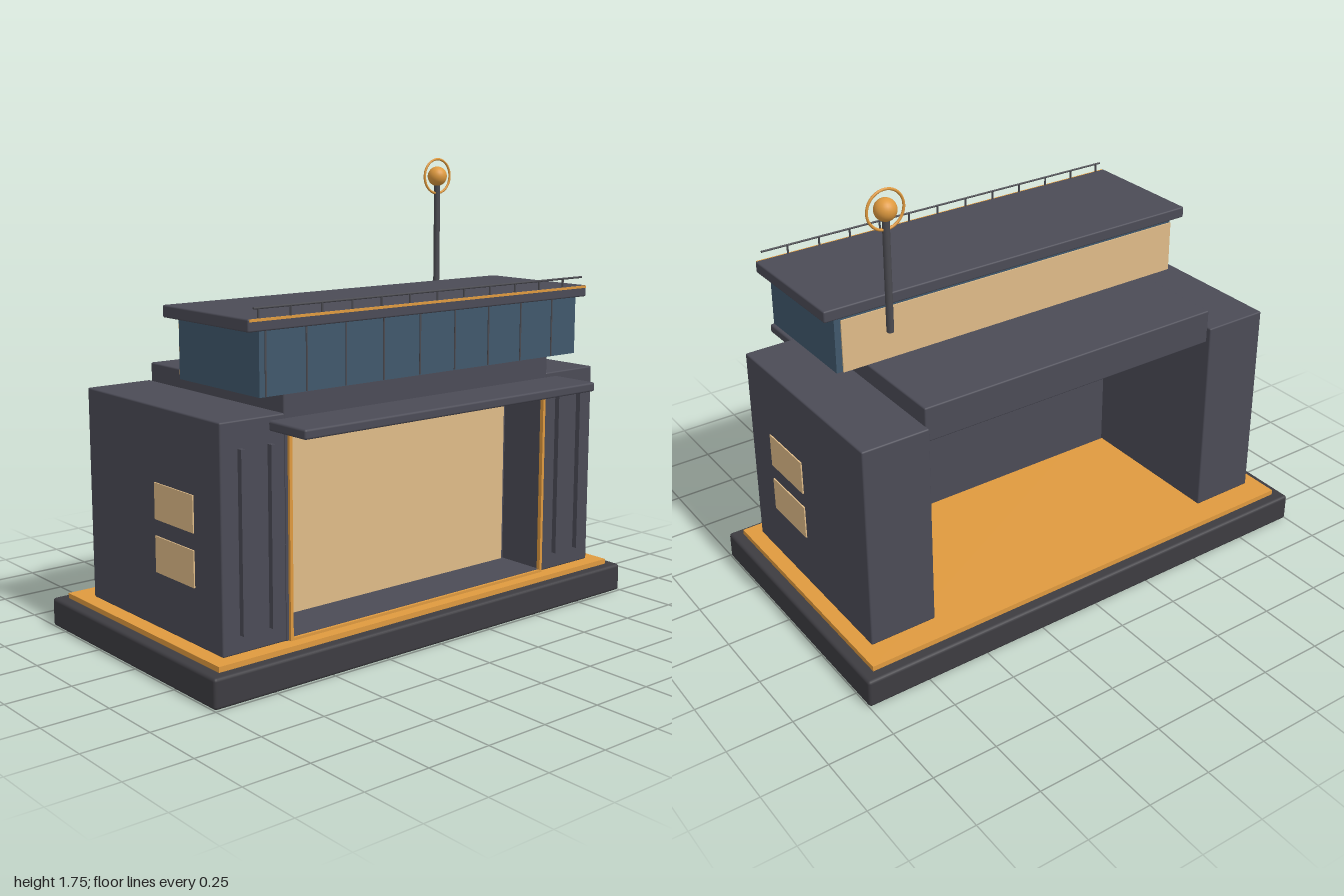
import * as THREE from 'three';
import { RoundedBoxGeometry } from 'three/addons/geometries/RoundedBoxGeometry.js';

const paint = (color) => new THREE.MeshStandardMaterial({ color });

export function createModel() {
  const model = new THREE.Group();
  const wall = paint(0x4b4b56), dark = paint(0x3d3c41), orange = paint(0xdf9a3f);
  const glow = paint(0xdfbb88), glass = paint(0x40586c), metal = paint(0x4a4a50);

  const add = (name, geometry, material, x, y, z) => {
    const mesh = new THREE.Mesh(geometry, material);
    mesh.name = name;
    mesh.position.set(x, y, z);
    model.add(mesh);
    return mesh;
  };
  // Box given by its limits; a radius softens the edges
  const box = (name, material, [x0, x1], [y0, y1], [z0, z1], radius = 0) => {
    const size = [x1 - x0, y1 - y0, z1 - z0];
    const geometry = radius
      ? new RoundedBoxGeometry(...size, 2, radius)
      : new THREE.BoxGeometry(...size);
    return add(name, geometry, material, (x0 + x1) / 2, (y0 + y1) / 2, (z0 + z1) / 2);
  };
  const mirror = (s, a, b) => (s > 0 ? [a, b] : [-b, -a]);

  // Plinth and coloured floor
  box('plinth', dark, [-1, 1], [0, 0.11], [-0.595, 0.495], 0.012);
  box('floor', orange, [-0.955, 0.955], [0.105, 0.13], [-0.55, 0.455]);

  // Side towers with lit windows and front fins
  for (const s of [1, -1]) {
    box('tower', wall, mirror(s, 0.635, 0.9), [0.13, 0.93], [-0.45, 0.4], 0.006);
    for (const y of [0.335, 0.527]) {
      box('sideWindow', glow, mirror(s, 0.895, 0.905), [y, y + 0.132], [0, 0.24]);
    }
    for (const x of [0.7, 0.822]) {
      box('frontFin', wall, mirror(s, x - 0.008, x + 0.008), [0.195, 0.835], [0.395, 0.421]);
    }
  }

  // Roof slab joining the towers, and the front canopy
  box('lowerRoof', wall, [-0.64, 0.64], [0.865, 1], [-0.43, 0.4], 0.006);
  box('canopy', wall, [-0.7, 0.7], [0.877, 0.912], [0.39, 0.595], 0.008);

  // Recessed display wall with its surround
  box('innerWall', wall, [-0.64, 0.64], [0.13, 0.87], [0.18, 0.2]);
  box('displayPanel', glow, [-0.595, 0.595], [0.147, 0.853], [0.2, 0.215]);
  box('surroundSill', wall, [-0.63, 0.63], [0.128, 0.142], [0.2, 0.4]);
  box('surroundHead', wall, [-0.63, 0.63], [0.853, 0.868], [0.2, 0.4]);
  for (const s of [1, -1]) {
    box('surroundJamb', wall, mirror(s, 0.617, 0.636), [0.13, 0.868], [0.2, 0.4]);
    box('sideTrim', orange, mirror(s, 0.613, 0.625), [0.13, 0.862], [0.395, 0.411]);
  }
  box('sillTrim', orange, [-0.625, 0.625], [0.128, 0.14], [0.395, 0.411]);
  box('headTrim', orange, [-0.625, 0.625], [0.851, 0.862], [0.395, 0.411]);

  // Glazed upper storey with mullions and a lit rear panel
  box('upperGlazing', glass, [-0.76, 0.76], [1, 1.22], [-0.045, 0.43]);
  for (let i = 0; i < 9; i++) {
    const x = -0.735 + i * 0.17;
    box('mullion', metal, [x - 0.003, x + 0.003], [1.002, 1.22], [0.425, 0.433]);
  }
  box('rearPanel', glow, [-0.745, 0.745], [1.01, 1.212], [-0.069, -0.064]);

  // Upper roof with an edge strip and railing
  box('upperRoof', wall, [-0.81, 0.81], [1.22, 1.264], [-0.07, 0.44], 0.006);
  box('roofEdgeStrip', orange, [-0.805, 0.805], [1.254, 1.263], [0.43, 0.443]);
  const rail = add('railing', new THREE.CylinderGeometry(0.004, 0.004, 1.57, 8), metal, 0, 1.297, 0.436);
  rail.rotation.z = Math.PI / 2;
  for (let i = 0; i < 12; i++) {
    add('railingPost', new THREE.CylinderGeometry(0.004, 0.004, 0.04, 8), metal, -0.765 + i * 0.1312, 1.279, 0.436);
  }

  // Mast with ball and ring
  add('mast', new THREE.CylinderGeometry(0.013, 0.013, 0.43, 12), metal, 0.663, 1.443, -0.262);
  add('mastBall', new THREE.SphereGeometry(0.04, 24, 16), orange, 0.663, 1.67, -0.262);
  add('mastRing', new THREE.TorusGeometry(0.07, 0.005, 8, 40), orange, 0.663, 1.67, -0.262);

  return model;
}
